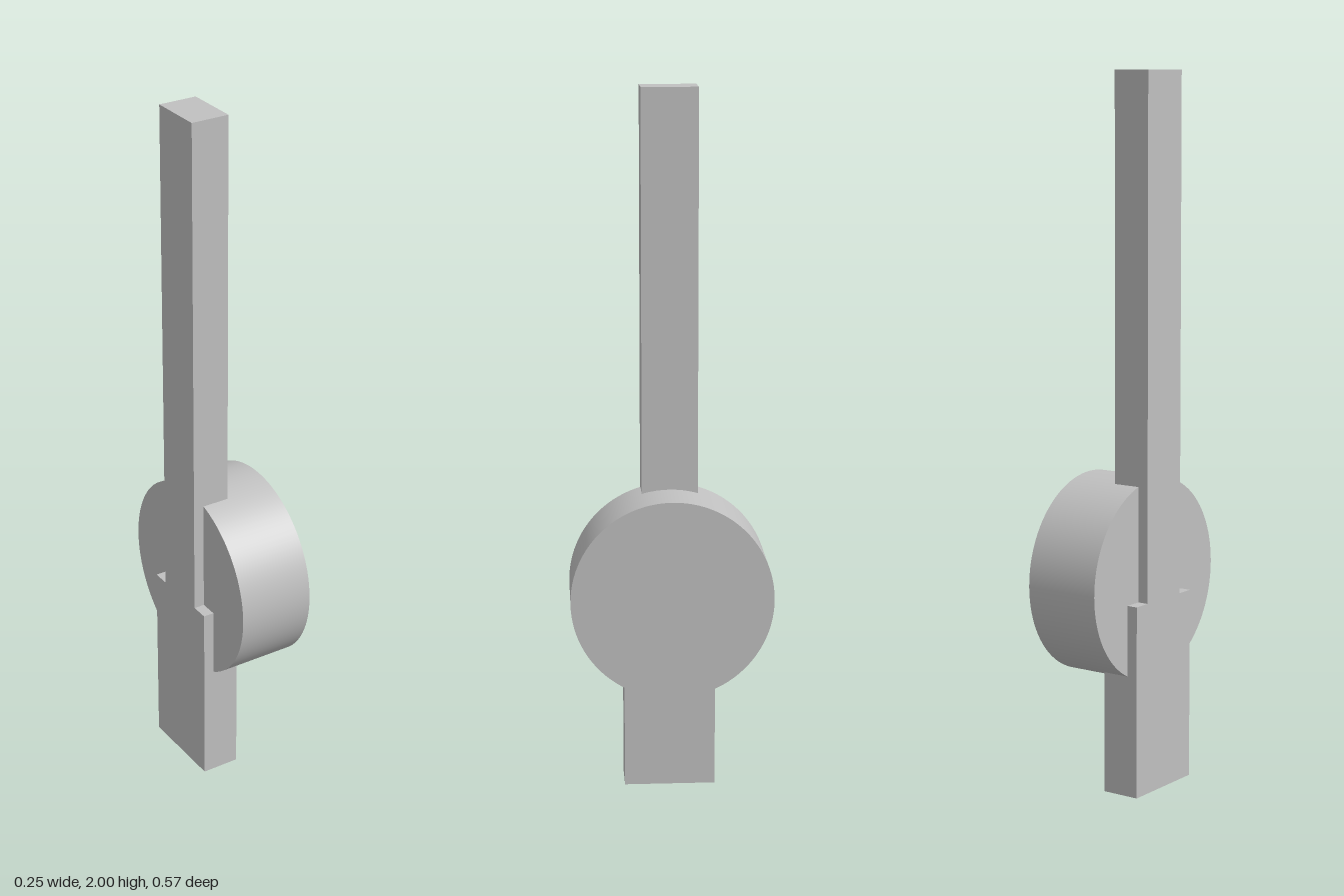
import * as THREE from 'three';

export function createModel() {
  const model = new THREE.Group();
  const grey = new THREE.MeshStandardMaterial({ color: 0xc0c0c0 });
  grey.name = 'light grey';

  const add = (name, geometry, x, y) => {
    const mesh = new THREE.Mesh(geometry, grey);
    mesh.name = name;
    mesh.position.set(x, y, 0);
    model.add(mesh);
  };

  // Tall narrow bar standing on a wider lower block, flush front and back
  const thickness = 0.11, barX = -0.072, step = 0.545;
  add('upperBar', new THREE.BoxGeometry(thickness, 2 - step, 0.158), barX, (2 + step) / 2);
  add('lowerBlock', new THREE.BoxGeometry(thickness, step, 0.26), barX, step / 2);

  // Round disc with its axis along x, sunk into the bar
  const disc = new THREE.CylinderGeometry(0.284, 0.284, 0.222, 96).rotateZ(Math.PI / 2);
  add('disc', disc, 0.015, 0.597);

  return model;
}
